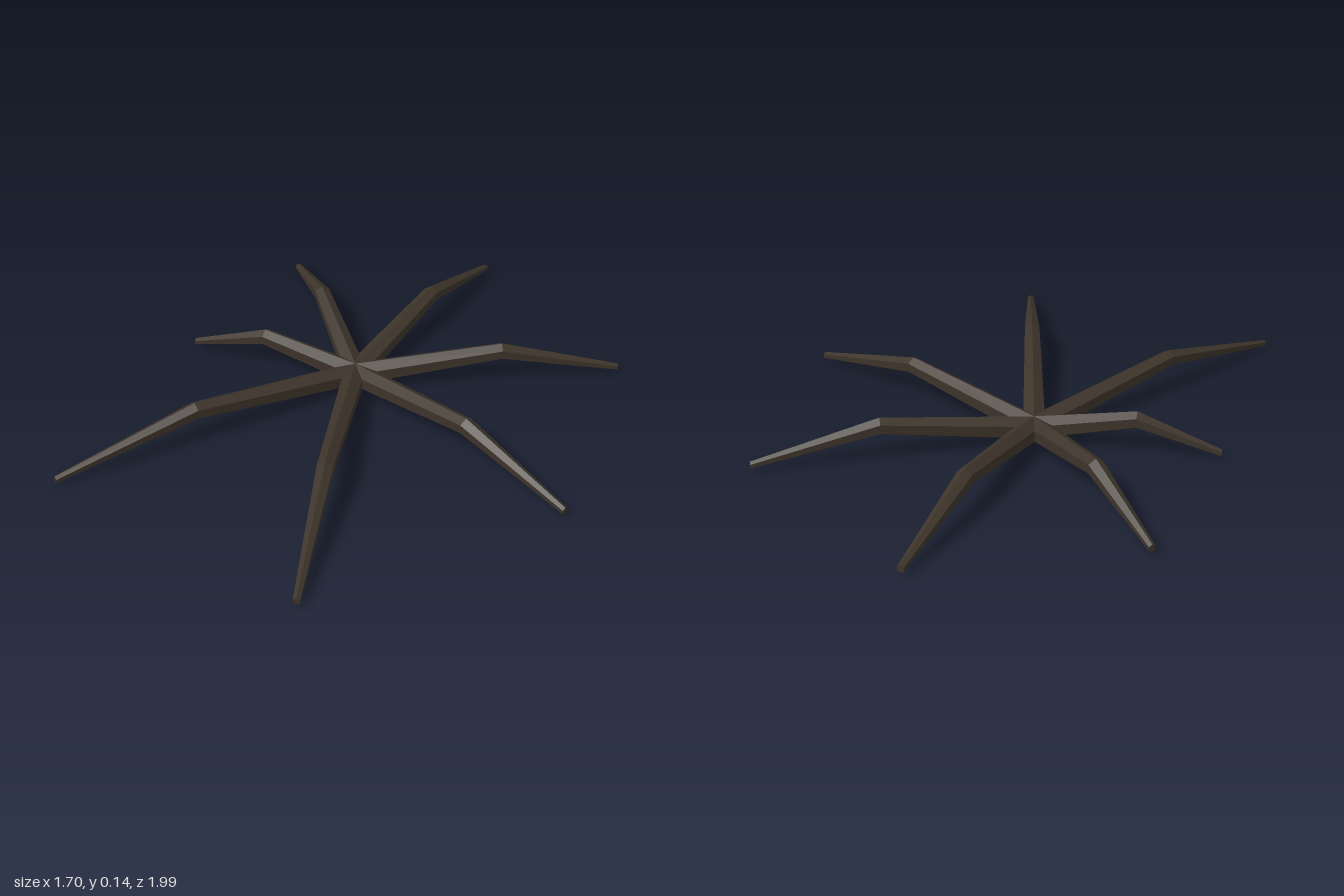
import * as THREE from 'three';

// Hub where all legs meet, and the tip of each leg (x, z)
const HUB = { x: -0.135, z: -0.11 };
const TIPS = [
  [0.848, -0.112], [0.455, -0.853], [-0.335, -0.997], [-0.845, -0.457],
  [-0.706, 0.163], [-0.385, 0.993], [0.575, 0.782],
];
// Stations along a leg: fraction of length, height of the centre, radius
const STATIONS = [[0, 0.043, 0.043], [0.55, 0.114, 0.031], [1, 0.023, 0.013]];

// Six-sided tapering leg along +x, ridge up, bent at the knee
function legGeometry(length) {
  let geo = new THREE.CylinderGeometry(1, 1, 2, 6, 2, false, Math.PI / 6);
  geo.rotateZ(-Math.PI / 2);
  const p = geo.attributes.position;
  for (let i = 0; i < p.count; i++) {
    const [t, height, radius] = STATIONS[Math.round(p.getX(i)) + 1];
    p.setXYZ(i, t * length, height + p.getY(i) * radius, p.getZ(i) * radius);
  }
  geo = geo.toNonIndexed(); // flat facets
  geo.computeVertexNormals();
  return geo;
}

export function createModel() {
  const group = new THREE.Group();
  group.name = 'spiderLegs';
  const brown = new THREE.MeshStandardMaterial({ color: 0x3d342a });
  brown.name = 'dark brown';

  TIPS.forEach(([x, z], i) => {
    const dx = x - HUB.x, dz = z - HUB.z;
    const leg = new THREE.Mesh(legGeometry(Math.hypot(dx, dz)), brown);
    leg.name = `leg${i + 1}`;
    leg.position.set(HUB.x, 0, HUB.z);
    leg.rotation.y = Math.atan2(-dz, dx);
    group.add(leg);
  });
  return group;
}
